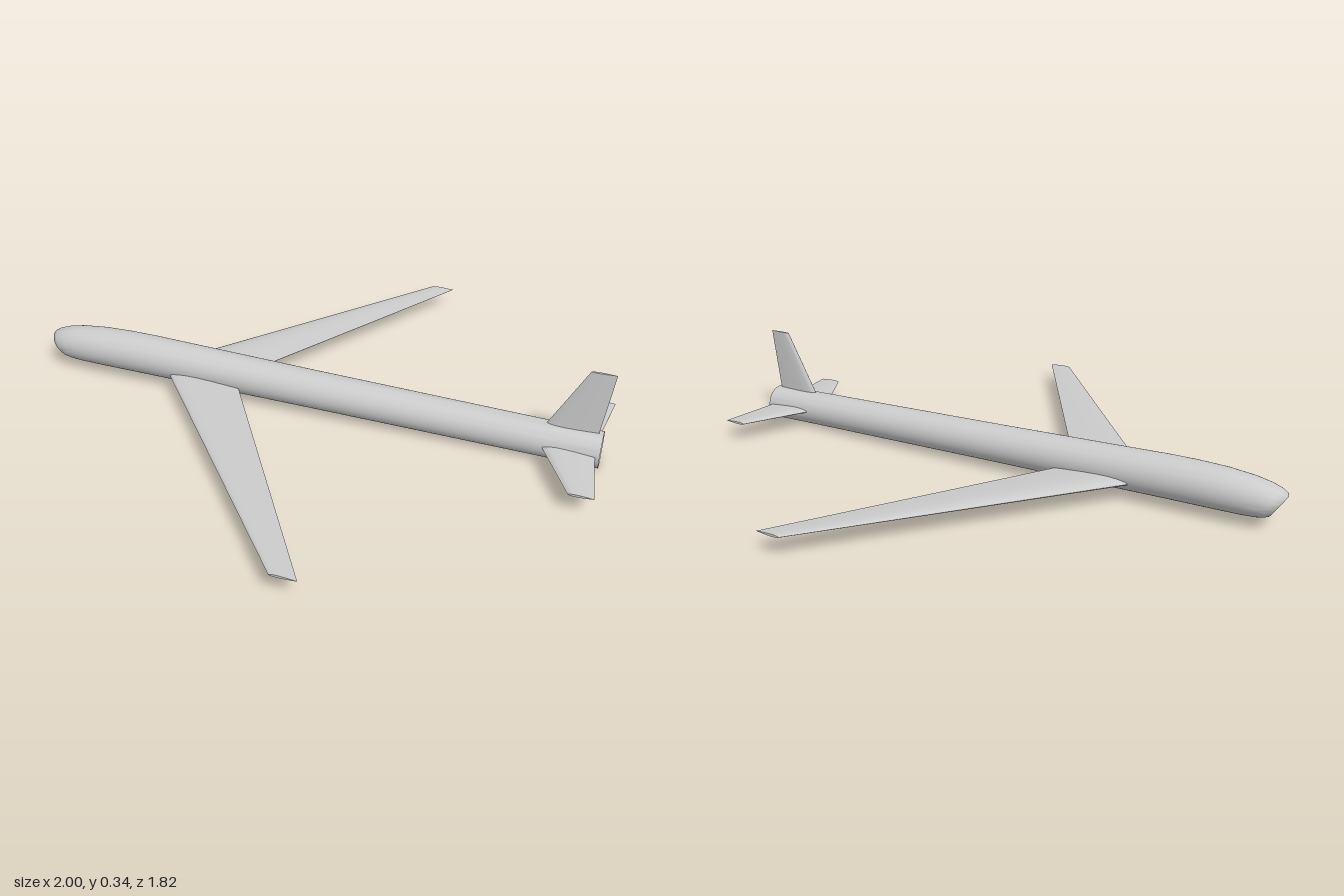
import * as THREE from 'three';
import { toCreasedNormals } from 'three/addons/utils/BufferGeometryUtils.js';

const material = new THREE.MeshStandardMaterial({ color: 0xcccccc, side: THREE.DoubleSide });

// Skin a series of closed rings (each the same number of points)
function loft(rings, crease) {
  const n = rings[0].length, index = [];
  for (let i = 0; i < rings.length - 1; i++) {
    for (let j = 0; j < n; j++) {
      const a = i * n + j, b = i * n + (j + 1) % n;
      index.push(a, b, a + n, b, b + n, a + n);
    }
  }
  const g = new THREE.BufferGeometry();
  g.setAttribute('position', new THREE.Float32BufferAttribute(rings.flat(2), 3));
  g.setIndex(index);
  return toCreasedNormals(g, crease);
}

// Body: each section is [top x, top y, bottom x, bottom y, half width];
// the first ones lean back to form the slanted mouth
function fuselageGeometry() {
  const sections = [
    [-1.0, 0.115, -0.955, 0.048, 0.032],
    [-0.997, 0.124, -0.95, 0.042, 0.043],
    [-0.98, 0.135, -0.935, 0.036, 0.053],
    [-0.945, 0.147, -0.91, 0.032, 0.06],
    [-0.89, 0.158, -0.87, 0.03, 0.066],
    [-0.8, 0.167, -0.8, 0.029, 0.07],
    [-0.7, 0.17, -0.7, 0.028, 0.071],
    [-0.6, 0.169, -0.6, 0.027, 0.071],
    [-0.4, 0.162, -0.4, 0.024, 0.07],
    [0, 0.149, 0, 0.019, 0.067],
    [0.4, 0.138, 0.4, 0.012, 0.064],
    [0.8, 0.127, 0.8, 0.005, 0.061],
    [0.987, 0.122, 0.987, 0.001, 0.06],
  ];
  const N = 40;
  return loft(sections.map(([xt, yt, xb, yb, w]) =>
    Array.from({ length: N }, (_, j) => {
      const a = (j / N) * Math.PI * 2, t = (Math.cos(a) + 1) / 2;
      return [xb + (xt - xb) * t, yb + (yt - yb) * t, Math.sin(a) * w];
    })), 1.2);
}

// Tapered aerofoil panel spanning +z; root and tip are
// { z, x0: leading edge, x1: trailing edge, t: half thickness }
function panelGeometry(root, tip) {
  const upper = [[1, 0.05], [0.8, 0.42], [0.6, 0.75], [0.4, 0.96], [0.25, 1],
    [0.12, 0.8], [0.04, 0.48], [0.01, 0.22]];
  const loop = [...upper, [0, 0], ...upper.map(([c, h]) => [c, -h]).reverse()];
  const ring = ({ z, x0, x1, t }) => loop.map(([c, h]) => [x0 + (x1 - x0) * c, h * t, z]);
  const cap = loop.map(() => [(tip.x0 + tip.x1) / 2, 0, tip.z]);
  return loft([ring(root), ring(tip), cap], 0.8);
}

function addPart(group, name, geometry, y = 0, roll = 0) {
  const mesh = new THREE.Mesh(geometry, material);
  mesh.name = name;
  mesh.position.y = y;
  mesh.rotation.x = roll;
  group.add(mesh);
}

export function createModel() {
  const model = new THREE.Group();
  model.name = 'cruiseVehicle';

  addPart(model, 'fuselage', fuselageGeometry());

  // Swept main wings
  const wing = panelGeometry(
    { z: 0.055, x0: -0.515, x1: -0.25, t: 0.014 },
    { z: 0.912, x0: 0.2, x1: 0.285, t: 0.004 });
  addPart(model, 'nearWing', wing, 0.07);
  addPart(model, 'farWing', wing, 0.07, Math.PI);

  // Tailplanes and upright fin
  const tail = panelGeometry(
    { z: 0.054, x0: 0.802, x1: 0.972, t: 0.009 },
    { z: 0.277, x0: 0.92, x1: 1.0, t: 0.004 });
  addPart(model, 'nearTailplane', tail, 0.068);
  addPart(model, 'farTailplane', tail, 0.068, Math.PI);
  addPart(model, 'verticalFin', tail, 0.065, -Math.PI / 2);

  return model;
}
